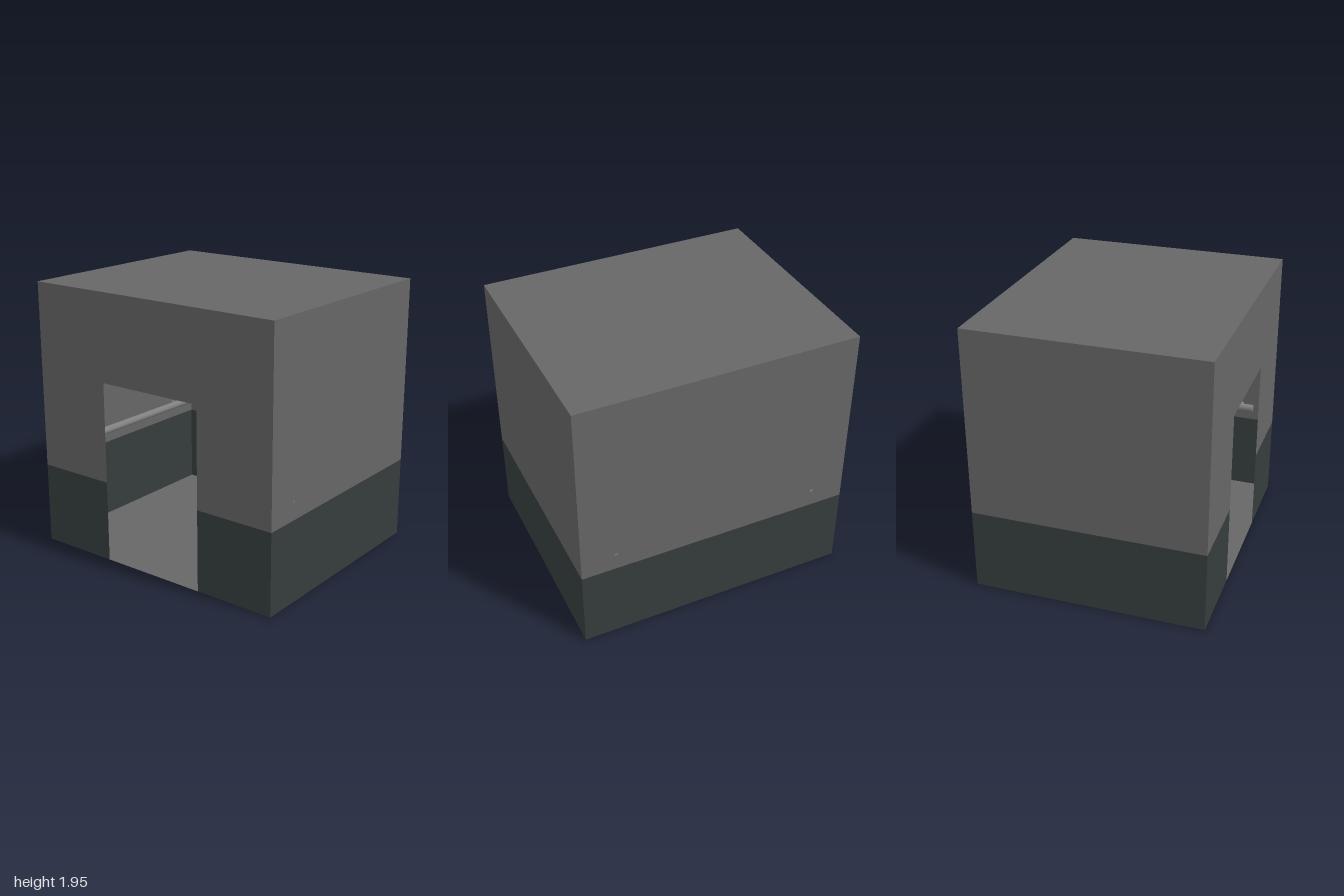
import * as THREE from 'three';

const W = 1.666, D = 2, H = 1.945;    // cabin width, depth, height
const SPLIT = 0.59;                   // top of the dark lower panels
const DOOR_W = 0.81, DOOR_H = 1.315;

export function createModel() {
  const model = new THREE.Group();
  model.name = 'cabin';

  const mat = (name, color, side = THREE.FrontSide) => {
    const m = new THREE.MeshStandardMaterial({ color, side });
    m.name = name;
    return m;
  };
  const grey = mat('wall grey', 0x666666, THREE.DoubleSide);
  const dark = mat('panel dark green grey', 0x363d3d, THREE.DoubleSide);
  const steel = mat('rail steel', 0x808080);

  const add = (name, geometry, material, parent = model) => {
    const mesh = new THREE.Mesh(geometry, material);
    mesh.name = name;
    parent.add(mesh);
    return mesh;
  };

  // Flat sheet from x0..x1, y0..y1 in a wall's own plane
  const sheet = (x0, x1, y0, y1) =>
    new THREE.PlaneGeometry(x1 - x0, y1 - y0).translate((x0 + x1) / 2, (y0 + y1) / 2, 0);

  // A wall is a group facing outward, turned about y
  const wall = (name, angle, distance) => {
    const g = new THREE.Group();
    g.name = name;
    g.rotation.y = angle;
    g.position.set(Math.sin(angle) * distance, 0, Math.cos(angle) * distance);
    model.add(g);
    return g;
  };

  // Three closed walls, each with a handrail inside
  for (const [name, angle, distance, width] of [
    ['frontWall', 0, D / 2, W],
    ['backWall', Math.PI, D / 2, W],
    ['sideWall', Math.PI / 2, W / 2, D],
  ]) {
    const g = wall(name, angle, distance);
    add('lowerPanel', sheet(-width / 2, width / 2, 0, SPLIT), dark, g);
    add('upperPanel', sheet(-width / 2, width / 2, SPLIT, H), grey, g);

    const length = width - 0.3;
    const rail = add('handrail', new THREE.CylinderGeometry(0.028, 0.028, length, 16), steel, g);
    rail.rotation.z = Math.PI / 2;
    rail.position.set(0, 0.72, -0.07);
    for (const s of [-1, 1]) {
      const bracket = add('railBracket', new THREE.CylinderGeometry(0.014, 0.014, 0.07, 10), steel, g);
      bracket.rotation.x = Math.PI / 2;
      bracket.position.set(s * (length / 2 - 0.1), 0.72, -0.035);
    }
  }

  // Wall with the open doorway
  const doorWall = wall('doorWall', -Math.PI / 2, W / 2);
  for (const s of [-1, 1]) {
    const [a, b] = [s * DOOR_W / 2, s * D / 2].sort((p, q) => p - q);
    add('lowerPanel', sheet(a, b, 0, SPLIT), dark, doorWall);
    add('upperPanel', sheet(a, b, SPLIT, H), grey, doorWall);
  }
  add('doorHeader', sheet(-DOOR_W / 2, DOOR_W / 2, DOOR_H, H), grey, doorWall);

  // Floor and roof
  const floor = add('floor', new THREE.PlaneGeometry(W, D), grey);
  floor.rotation.x = -Math.PI / 2;
  const roof = add('roof', new THREE.PlaneGeometry(W, D), grey);
  roof.rotation.x = -Math.PI / 2;
  roof.position.y = H;

  return model;
}
